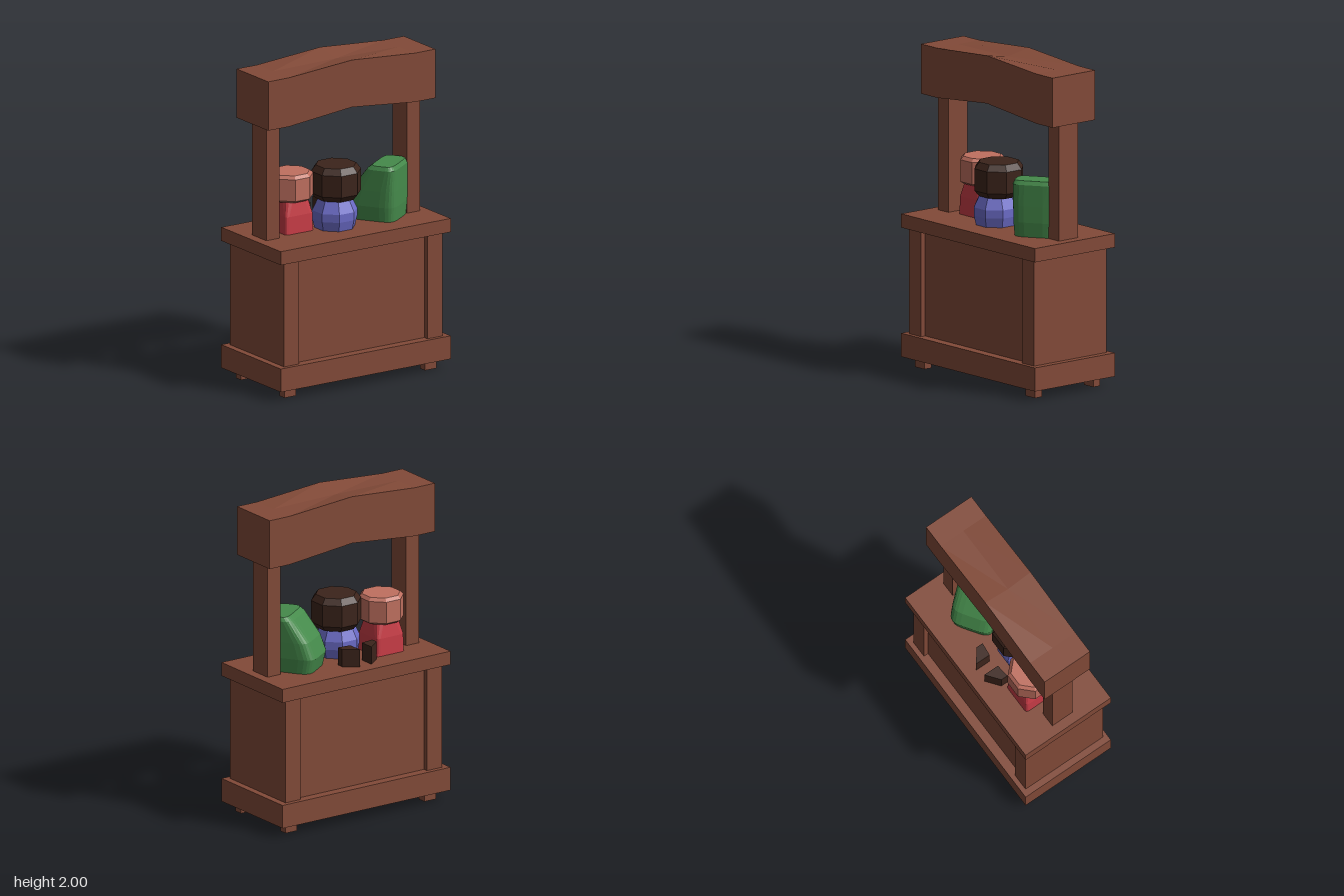
import * as THREE from 'three';

const mat = (color, side = THREE.FrontSide) =>
  new THREE.MeshStandardMaterial({ color, flatShading: true, side });
const wood = mat(0x824a38);
const dark = mat(0x3c241b);
const red = mat(0xc83c46);
const salmon = mat(0xc07060);
const blue = mat(0x6c6cc8);
const green = mat(0x458a4b);

export function createModel() {
  const model = new THREE.Group();
  model.name = 'marketStall';

  const add = (name, geometry, material, x = 0, y = 0, z = 0) => {
    const mesh = new THREE.Mesh(geometry, material);
    mesh.name = name;
    mesh.position.set(x, y, z);
    model.add(mesh);
    return mesh;
  };
  // box given by its ranges along each axis
  const box = (name, x0, x1, y0, y1, z0, z1, material = wood) =>
    add(name, new THREE.BoxGeometry(x1 - x0, y1 - y0, z1 - z0), material,
      (x0 + x1) / 2, (y0 + y1) / 2, (z0 + z1) / 2);
  // eight-sided turned shape with a flat side to the front
  const turned = (name, profile, material, x, z) => {
    const points = profile.map(([r, y]) => new THREE.Vector2(r, y));
    const geometry = new THREE.LatheGeometry(points, 8, Math.PI / 8);
    add(name, geometry, material, x, 0, z);
  };

  // counter
  box('counterTop', -0.62, 0.62, 0.855, 0.94, -0.315, 0.315);
  box('basePlinth', -0.62, 0.62, 0.06, 0.205, -0.315, 0.315);
  box('counterPanel', -0.47, 0.47, 0.205, 0.855, -0.255, 0.255);
  for (const s of [-1, 1]) {
    const side = (name, a, b, ...rest) =>
      box(name, Math.min(s * a, s * b), Math.max(s * a, s * b), ...rest);
    side('counterEnd', 0.468, 0.578, 0.205, 0.855, -0.285, 0.288);
    side('roofPost', 0.465, 0.56, 0.94, 1.68, -0.075, 0.075);
    side('frontFoot', 0.47, 0.555, 0, 0.06, 0.205, 0.26);
    side('backFoot', 0.47, 0.555, 0, 0.06, -0.255, -0.2);
  }

  // roof beam, raised at the middle, its top dipping along the centre line
  const roof = new THREE.BoxGeometry(1.22, 0.306, 0.335, 4, 1, 2);
  const p = roof.attributes.position;
  for (let i = 0; i < p.count; i++) {
    const x = p.getX(i), y = p.getY(i), z = p.getZ(i);
    if (Math.abs(x) < 0.01) {
      const lift = y < 0 ? 0.045 : Math.abs(z) < 0.01 ? 0.004 : 0.034;
      p.setY(i, y + lift);
    } else if (Math.abs(x) < 0.5) p.setX(i, Math.sign(x) * 0.46);
  }
  add('roof', roof, wood, 0, 1.813, 0);

  // square red jar with a round lid
  add('redJar', loft([[0.94, 0.103, 12], [1.05, 0.1, 12], [1.15, 0.085, 4]].map(
    ([y, h, n]) => ring(16, n, h, h, (u, v) => [-0.298 + u, y, -0.05 + v]))), red);
  turned('redJarLid', [[0, 1.135], [0.115, 1.135], [0.138, 1.15], [0.138, 1.285],
    [0.118, 1.305], [0, 1.305]], salmon, -0.297, -0.05);

  // faceted blue jar with a dark lid
  turned('blueJar', [[0, 0.941], [0.125, 0.941], [0.139, 1.0], [0.139, 1.05],
    [0.1, 1.13], [0, 1.13]], blue, -0.048, 0.055);
  turned('blueJarLid', [[0, 1.12], [0.125, 1.12], [0.154, 1.155], [0.154, 1.29],
    [0.125, 1.328], [0, 1.328]], dark, -0.032, 0.045);

  // pair of small wedge blocks behind the blue jar
  for (const s of [-1, 1]) {
    const plan = [[0.0425, -0.24], [0.1275, -0.175], [0.1275, -0.13], [0.0425, -0.14]];
    const shape = new THREE.Shape(plan.map(([x, z]) => new THREE.Vector2(s * x, -z)));
    const block = new THREE.ExtrudeGeometry(shape, { depth: 0.11, bevelEnabled: false });
    block.rotateX(-Math.PI / 2);
    add('wedgeBlock', block, dark, -0.0475, 0.94, 0);
  }

  // green sack: upright front, sloping back, turned on the counter
  const sack = [[0.94, -0.145, 0.155, 0.135], [1.03, -0.165, 0.162, 0.142],
    [1.13, -0.125, 0.162, 0.142], [1.26, -0.025, 0.16, 0.14], [1.284, 0.005, 0.145, 0.128]];
  const sackMesh = add('greenSack', loft(sack.map(([y, back, front, half]) =>
    ring(28, 5, half, (front - back) / 2,
      (u, v) => [u, y, v + (front + back) / 2]))), green, 0.3, 0, 0);
  sackMesh.rotation.y = 0.593;

  return model;
}

// rounded-square loop of n points; a higher power gives sharper corners
function ring(n, power, a, b, place) {
  const soft = (c) => Math.sign(c) * Math.pow(Math.abs(c), 2 / power);
  return Array.from({ length: n }, (_, i) => {
    const t = ((i + 0.5) / n) * Math.PI * 2;
    return place(a * soft(Math.cos(t)), b * soft(Math.sin(t)));
  });
}

// closed skin through stacked loops, from the bottom up
function loft(rings) {
  const n = rings[0].length;
  const verts = rings.flat();
  const index = [];
  for (let r = 0; r < rings.length - 1; r++) {
    for (let i = 0; i < n; i++) {
      const a = r * n + i, b = r * n + ((i + 1) % n);
      index.push(a, a + n, b, b, a + n, b + n);
    }
  }
  const top = (rings.length - 1) * n;
  for (let i = 1; i < n - 1; i++) {
    index.push(0, i, i + 1);
    index.push(top, top + i + 1, top + i);
  }
  const geometry = new THREE.BufferGeometry();
  geometry.setAttribute('position', new THREE.Float32BufferAttribute(verts.flat(), 3));
  geometry.setIndex(index);
  geometry.computeVertexNormals();
  return geometry;
}
